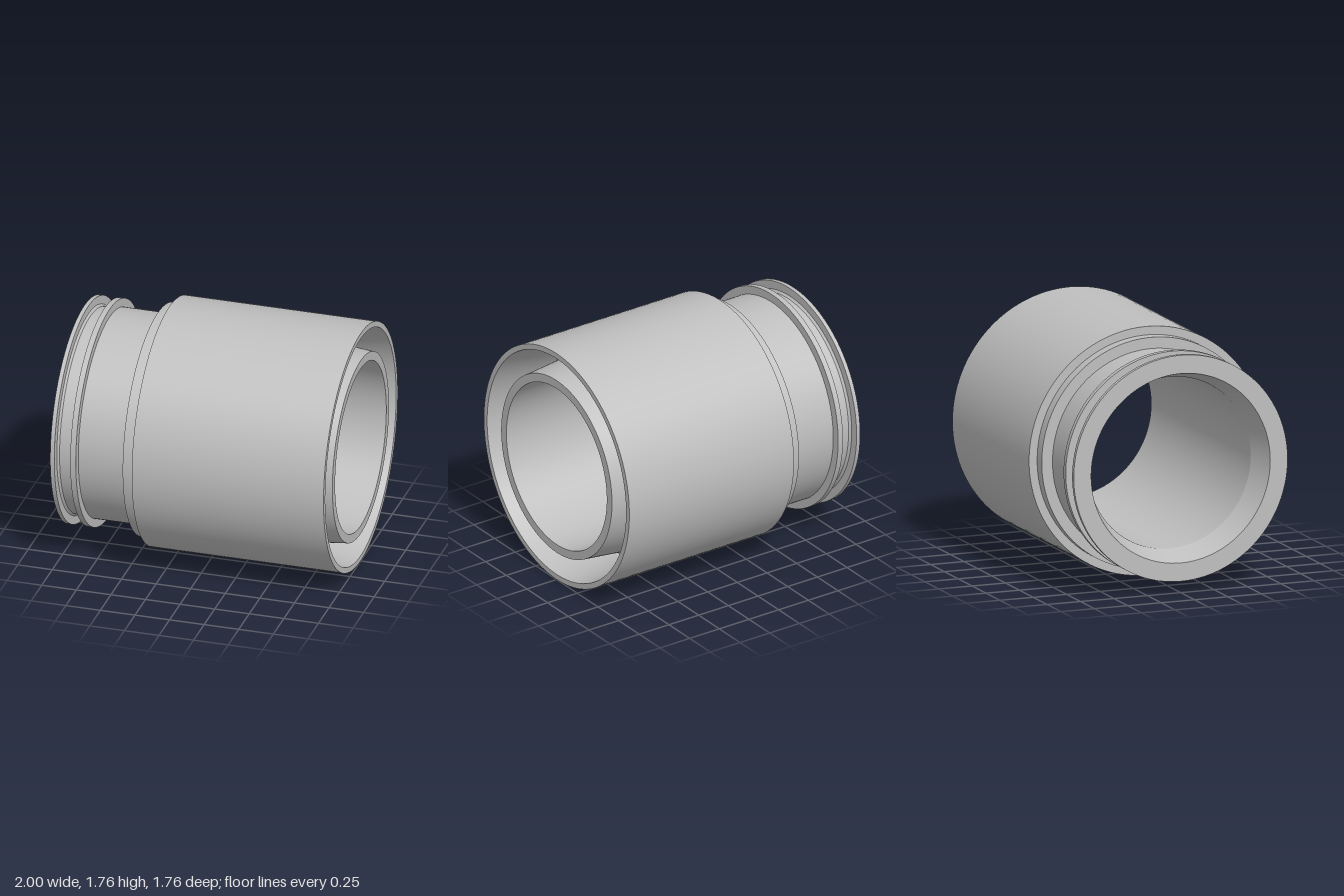
import * as THREE from 'three';
import { mergeGeometries } from 'three/addons/utils/BufferGeometryUtils.js';

const SEGMENTS = 128;
const AXIS_HEIGHT = 0.88;

// Revolves a chain of [x, radius] points about the x axis, with a sharp edge at every point.
function revolve(name, chain, material) {
  const bands = [];
  for (let i = 0; i < chain.length - 1; i++) {
    const pair = [chain[i], chain[i + 1]].map(([x, r]) => new THREE.Vector2(r, x));
    bands.push(new THREE.LatheGeometry(pair, SEGMENTS));
  }
  const geometry = mergeGeometries(bands);
  geometry.rotateZ(-Math.PI / 2);
  const mesh = new THREE.Mesh(geometry, material);
  mesh.name = name;
  return mesh;
}

export function createModel() {
  const group = new THREE.Group();
  group.name = 'sleeve';
  const grey = new THREE.MeshStandardMaterial({ color: 0xbfbfbf });
  grey.name = 'light grey';

  // Each chain continues where the one before it ends, giving one closed skin.
  const parts = {
    endFlange: [[-1, 0.67], [-1, 0.8], [-0.97, 0.8], [-0.97, 0.74]],
    sealGroove: [[-0.97, 0.74], [-0.955, 0.725], [-0.855, 0.725]],
    innerFlange: [[-0.855, 0.725], [-0.855, 0.8], [-0.815, 0.8], [-0.815, 0.74]],
    neck: [[-0.815, 0.74], [-0.47, 0.74]],
    collar: [[-0.47, 0.74], [-0.47, 0.82], [-0.386, 0.82]],
    outerShell: [[-0.386, 0.82], [-0.386, 0.88], [1, 0.88], [1, 0.84]],
    // Tapered ring-shaped pocket between the shell and the inner tube
    pocket: [[1, 0.84], [0.55, 0.77], [0.55, 0.715], [1, 0.67]],
    innerTubeRim: [[1, 0.67], [1, 0.607]],
    bore: [[1, 0.607], [-0.8, 0.607], [-1, 0.67]],
  };
  for (const [name, chain] of Object.entries(parts)) {
    group.add(revolve(name, chain, grey));
  }
  group.children.forEach((mesh) => { mesh.position.y = AXIS_HEIGHT; });
  return group;
}
